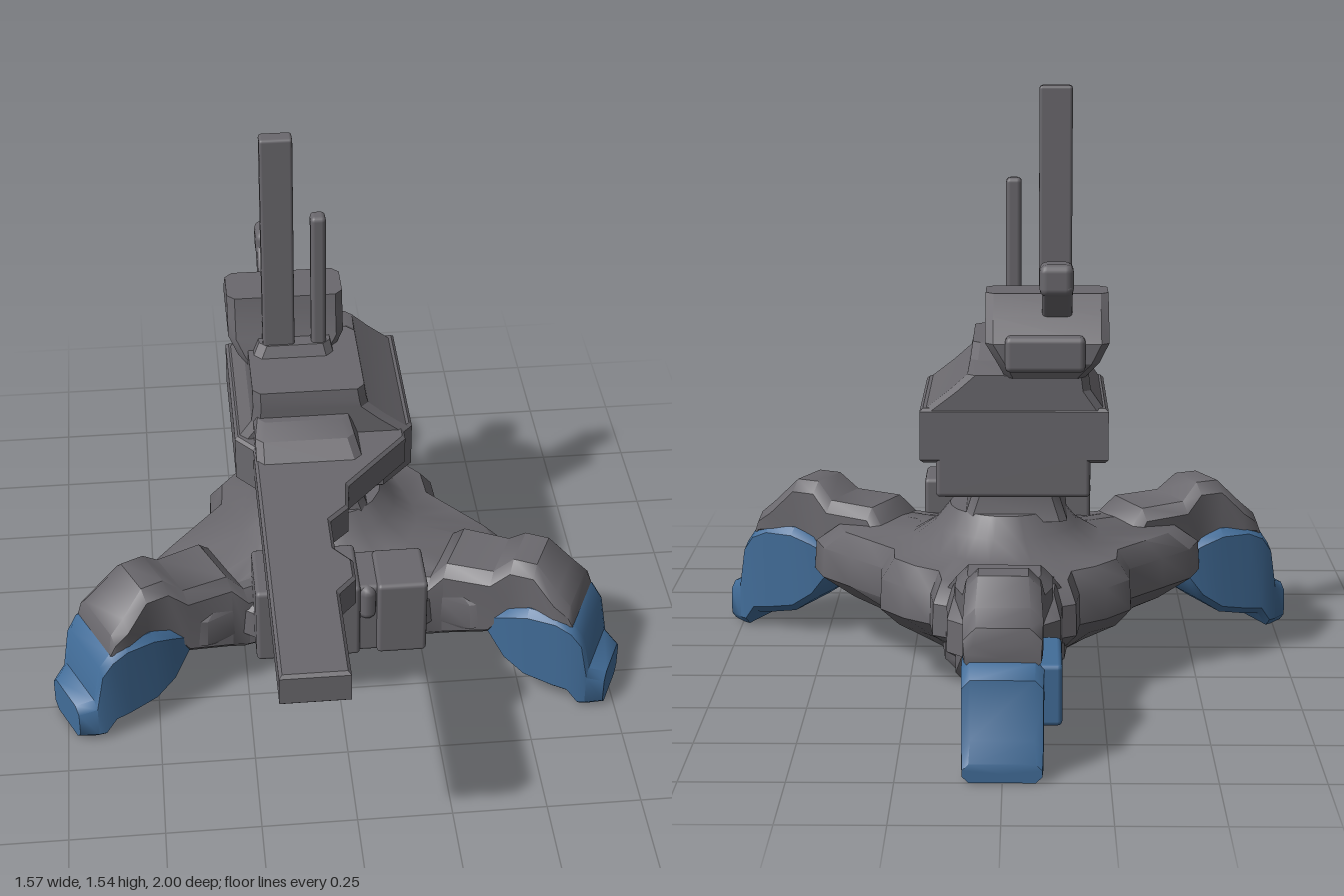
import * as THREE from 'three';
import { toCreasedNormals } from 'three/addons/utils/BufferGeometryUtils.js';
import { RoundedBoxGeometry } from 'three/addons/geometries/RoundedBoxGeometry.js';

const armour = new THREE.MeshStandardMaterial({ color: 0x6a686d });
armour.name = 'grey armour';
const footBlue = new THREE.MeshStandardMaterial({ color: 0x426d99 });
footBlue.name = 'blue foot paint';

// Closed skin through rings of [x, y, z] points, turned outward by its signed volume.
function loft(rings, crease = 0.6) {
  const n = rings[0].length;
  const verts = rings.flat().map((p) => new THREE.Vector3(...p));
  const centre = (ring) => ring.reduce((s, p) => s.add(new THREE.Vector3(...p)), new THREE.Vector3()).divideScalar(n);
  const first = verts.push(centre(rings[0])) - 1;
  const last = verts.push(centre(rings[rings.length - 1])) - 1;
  const faces = [];
  for (let j = 0; j < n; j++) {
    const k = (j + 1) % n;
    for (let i = 0; i < rings.length - 1; i++) {
      const a = i * n + j, b = i * n + k;
      faces.push([a, b, b + n], [a, b + n, a + n]);
    }
    const top = (rings.length - 1) * n;
    faces.push([first, k, j], [last, top + j, top + k]);
  }
  let volume = 0;
  for (const [a, b, c] of faces) volume += verts[a].dot(verts[b].clone().cross(verts[c]));
  if (volume < 0) faces.forEach((f) => f.reverse());
  const geo = new THREE.BufferGeometry();
  geo.setAttribute('position', new THREE.Float32BufferAttribute(verts.flatMap((v) => v.toArray()), 3));
  geo.setIndex(faces.flat());
  return toCreasedNormals(geo, crease);
}

// Plan outline of [x, z] points raised from y0 to y1 with a small bevel.
function slab(points, y0, y1) {
  const b = 0.008;
  const shape = new THREE.Shape(points.map(([x, z]) => new THREE.Vector2(x, -z)));
  const geo = new THREE.ExtrudeGeometry(shape, {
    depth: y1 - y0 - 2 * b, bevelThickness: b, bevelSize: b, bevelOffset: -b, bevelSegments: 1,
  });
  return geo.rotateX(-Math.PI / 2).translate(0, y0 + b, 0);
}

// Soft-edged box given by its limits.
function block(x0, x1, y0, y1, z0, z1, r = 0.012) {
  return new RoundedBoxGeometry(x1 - x0, y1 - y0, z1 - z0, 2, r)
    .translate((x0 + x1) / 2, (y0 + y1) / 2, (z0 + z1) / 2);
}

const rect = (x0, x1, z0, z1, y, c = 0.02) => [
  [x0 + c, y, z0], [x1 - c, y, z0], [x1, y, z0 + c], [x1, y, z1 - c],
  [x1 - c, y, z1], [x0 + c, y, z1], [x0, y, z1 - c], [x0, y, z0 + c],
];

// Limb pointing along +z: each station is [z, bottom, top, half width].
function limb(stations, chamfer) {
  return loft(stations.map(([z, b, t, w]) => {
    const c = Math.min(chamfer, (t - b) / 3, w / 2);
    return [[-w, b + c, z], [-w + c, b, z], [w - c, b, z], [w, b + c, z],
      [w, t - c, z], [w - c, t, z], [-w + c, t, z], [-w, t - c, z]];
  }), 0.75);
}

// Knee and foot stations of the two leg types
const backLeg = {
  knee: [[0.1, 0.07, 0.33, 0.17], [0.25, 0.1, 0.33, 0.16], [0.37, 0.1, 0.335, 0.15], [0.39, 0.1, 0.38, 0.12],
    [0.48, 0.1, 0.38, 0.12], [0.55, 0.17, 0.38, 0.1], [0.59, 0.24, 0.43, 0.09], [0.66, 0.24, 0.43, 0.09],
    [0.72, 0.24, 0.37, 0.095], [0.78, 0.24, 0.34, 0.093], [0.79, 0.24, 0.3, 0.09]],
  foot: [[0.54, 0.2, 0.26, 0.09], [0.6, 0.11, 0.26, 0.097], [0.69, 0.055, 0.26, 0.097], [0.79, 0.05, 0.26, 0.097],
    [0.83, 0, 0.23, 0.095], [0.85, 0, 0.09, 0.095], [0.88, 0, 0.045, 0.093]],
};
const frontLeg = {
  knee: [[0.08, 0.1, 0.33, 0.14], [0.33, 0.13, 0.335, 0.13], [0.37, 0.13, 0.38, 0.11], [0.5, 0.17, 0.385, 0.105],
    [0.55, 0.24, 0.43, 0.09], [0.615, 0.25, 0.43, 0.09], [0.68, 0.26, 0.365, 0.105], [0.72, 0.26, 0.33, 0.105],
    [0.735, 0.26, 0.28, 0.1]],
  foot: [[0.49, 0.18, 0.25, 0.095], [0.55, 0.1, 0.28, 0.108], [0.61, 0.06, 0.3, 0.113], [0.69, 0.045, 0.3, 0.115],
    [0.735, 0.04, 0.28, 0.115], [0.765, 0, 0.24, 0.11], [0.785, 0, 0.13, 0.105], [0.83, 0, 0.11, 0.08]],
};

export function createModel() {
  const model = new THREE.Group();
  const add = (name, geo, parent = model, mat = armour) => {
    const mesh = new THREE.Mesh(geo, mat);
    mesh.name = name;
    parent.add(mesh);
    return mesh;
  };

  // Three-cornered hull: half outline mirrored, then scaled and blended into a round pedestal
  const CZ = -0.12;
  const half = [[0.09, -0.7], [0.14, -0.65], [0.145, -0.54], [0.18, -0.52], [0.19, -0.43], [0.26, -0.38],
    [0.325, -0.3], [0.33, -0.2], [0.42, -0.1], [0.5, -0.01], [0.53, 0.08], [0.47, 0.25], [0.36, 0.26], [0.27, 0.21],
    [0.2, 0.26], [0.07, 0.27]];
  const outline = [...half, ...half.slice().reverse().map(([x, z]) => [-x, z])];
  // [y, outline scale, circle radius, blend toward circle, ripple]
  const levels = [[0, 0.1, 0.11, 0.9, 0], [0.05, 0.3, 0.18, 0.75, 0.03], [0.1, 0.58, 0.26, 0.45, 0.04],
    [0.15, 0.84, 0.34, 0.2, 0.03], [0.2, 1, 0.4, 0, 0], [0.28, 0.99, 0.4, 0, 0], [0.33, 0.88, 0.36, 0.05, 0],
    [0.345, 0.55, 0.25, 0.8, 0], [0.39, 0.4, 0.19, 0.95, 0], [0.44, 0.3, 0.15, 0.95, 0]];
  add('hull', loft(levels.map(([y, s, r, t, ripple]) => outline.map(([x, z], j) => {
    const dz = z - CZ, d = Math.hypot(x, dz);
    const k = (s * (1 - t) + (r / d) * t) * (1 + ripple * Math.sin(j * 2.4 + y * 30));
    return [x * k, y, CZ + dz * k];
  })), 0.7));

  // Front stowage box with a notch and plug
  add('frontBox', block(-0.23, 0.05, 0.195, 0.43, 0.14, 0.33));
  add('frontBoxSide', block(0.095, 0.23, 0.195, 0.43, 0.17, 0.33));
  add('frontBoxFiller', block(0.03, 0.12, 0.195, 0.42, 0.16, 0.315));
  add('frontPlug', new THREE.CapsuleGeometry(0.025, 0.06, 4, 10).translate(0.07, 0.365, 0.305));

  // Legs: grey knee above a blue foot
  const legs = [
    ['backLeg', backLeg, Math.PI, CZ],
    ['leftLeg', frontLeg, 1.13, -0.04],
    ['rightLeg', frontLeg, -1.13, -0.04],
  ];
  for (const [name, { knee, foot }, angle, z] of legs) {
    const leg = new THREE.Group();
    leg.name = name;
    leg.position.z = z;
    leg.rotation.y = angle;
    add('knee', limb(knee, 0.03), leg);
    add('foot', limb(foot, 0.02), leg, footBlue);
    model.add(leg);
  }
  add('backFootGuard', block(-0.14, -0.07, 0.1, 0.25, -0.9, -0.68), model, footBlue);

  // Turret neck and body
  const turret = new THREE.Group();
  turret.name = 'turret';
  model.add(turret);
  add('neck', loft([rect(-0.16, 0.11, -0.25, 0.01, 0.42), rect(-0.14, 0.09, -0.235, 0, 0.48),
    rect(-0.14, 0.09, -0.235, 0, 0.64)]), turret);
  add('turretUnderside', block(-0.215, 0.175, 0.52, 0.64, -0.39, -0.225), turret);
  add('turretBase', slab([[-0.26, -0.39], [0.215, -0.39], [0.215, 0.04], [0.13, 0.13], [-0.2, 0.13], [-0.26, 0.06]],
    0.61, 0.75), turret);
  add('turretTop', loft([rect(-0.25, 0.205, -0.39, 0.07, 0.745), rect(-0.215, 0.14, -0.39, 0.07, 0.795),
    rect(-0.21, 0.095, -0.39, 0.07, 0.835), rect(-0.21, 0.09, -0.29, 0.07, 0.855),
    rect(-0.21, 0.085, -0.23, 0.065, 0.89)], 0.3), turret);
  add('mantlet', loft([rect(-0.21, 0.07, 0, 0.2, 0.74), rect(-0.21, 0.05, 0, 0.15, 0.795),
    rect(-0.2, 0.04, 0, 0.09, 0.815)], 0.3), turret);

  // Long flat gun with a stepped inner side
  add('gun', slab([[-0.215, 0], [-0.215, 1], [-0.045, 1], [-0.045, 0.71], [0, 0.66], [0, 0.59], [-0.04, 0.54],
    [-0.04, 0.43], [0.01, 0.38], [0.02, 0.29], [0.1, 0.2], [0.19, 0.1], [0.19, 0]], 0.66, 0.752), turret);

  // Cupola, rear sensor and antennas
  add('cupola', loft([rect(-0.2, 0.0, -0.4, -0.12, 0.83), rect(-0.235, 0.02, -0.42, -0.13, 0.87),
    rect(-0.26, 0.05, -0.42, -0.15, 0.92), rect(-0.26, 0.05, -0.37, -0.17, 0.98),
    rect(-0.26, 0.05, -0.31, -0.18, 1.03)], 0.4), turret);
  add('rearLatch', block(-0.2, 0, 0.85, 0.94, -0.44, -0.36, 0.015), turret);
  const arm = add('sensorArm', new RoundedBoxGeometry(0.075, 0.16, 0.08, 2, 0.012), turret);
  arm.position.set(-0.13, 1.03, -0.36);
  arm.rotation.x = -0.75;
  add('sensorHead', block(-0.17, -0.085, 1.04, 1.12, -0.44, -0.35, 0.02), turret);
  add('tallAntenna', block(-0.17, -0.085, 0.87, 1.54, -0.16, -0.115, 0.008), turret);
  add('shortAntenna', block(-0.04, 0, 0.87, 1.305, -0.16, -0.115, 0.012), turret);
  add('antennaFoot', loft([rect(-0.2, 0.02, -0.17, -0.09, 0.88), rect(-0.18, 0.01, -0.17, -0.11, 0.92)]), turret);

  return model;
}
